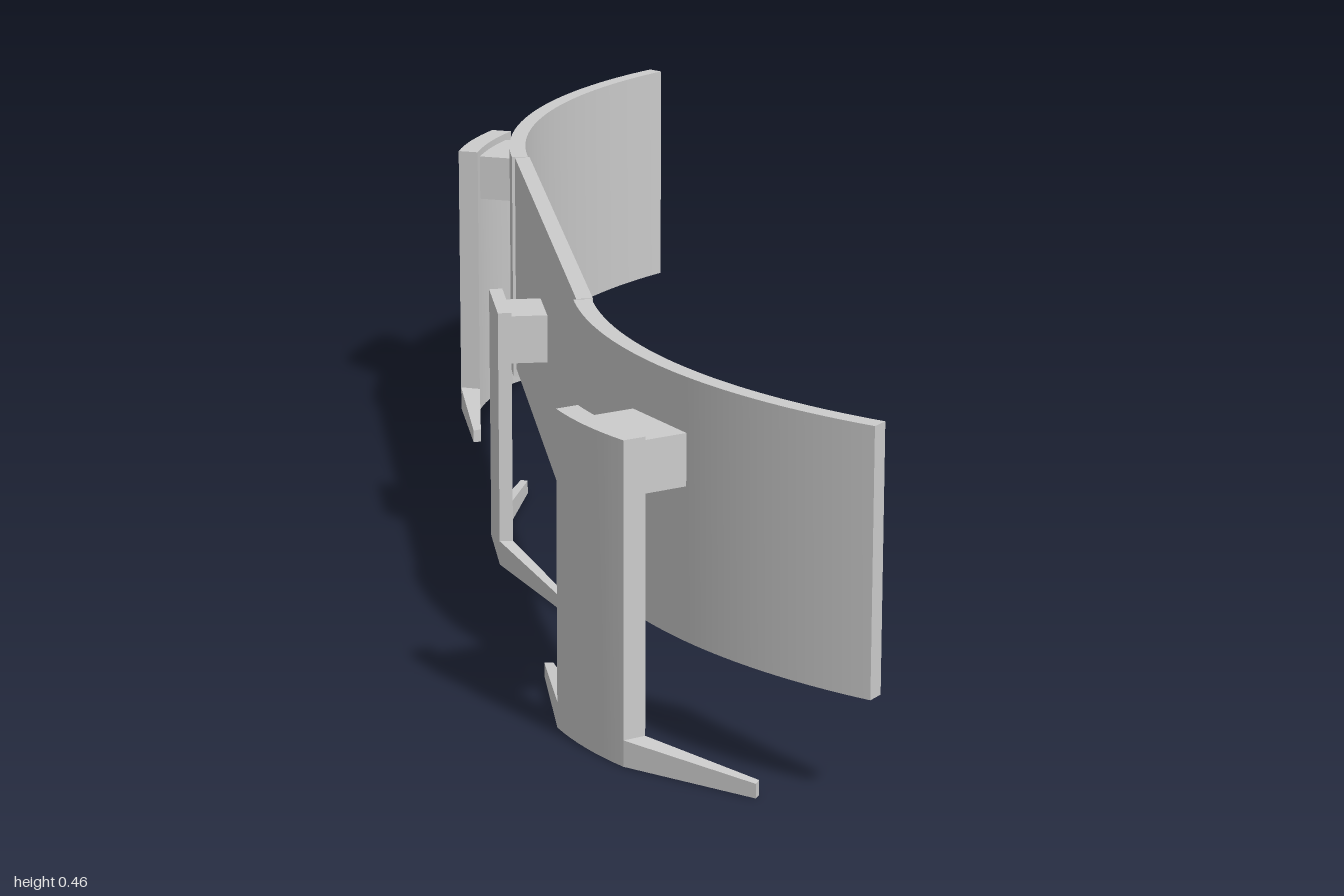
import * as THREE from 'three';
import { toCreasedNormals } from 'three/addons/utils/BufferGeometryUtils.js';

const material = new THREE.MeshStandardMaterial({ color: 0xcccccc });

// Vertical prism over a plan outline of [x, z] points; heightAt may slope its top.
function prism(name, outline, y0, y1, heightAt) {
  const shape = new THREE.Shape(outline.map(([x, z]) => new THREE.Vector2(x, z)));
  const geo = new THREE.ExtrudeGeometry(shape, { depth: y1 - y0, bevelEnabled: false });
  geo.rotateX(Math.PI / 2).translate(0, y1, 0);
  if (heightAt) {
    const p = geo.attributes.position;
    for (let i = 0; i < p.count; i++) {
      if (p.getY(i) > (y0 + y1) / 2) p.setY(i, heightAt(p.getZ(i)));
    }
    geo.computeVertexNormals();
  }
  const mesh = new THREE.Mesh(toCreasedNormals(geo, 0.4), material);
  mesh.name = name;
  return mesh;
}

// Curved side screen bending forward (+x) away from the joint; side is +1 or -1 in z.
function sideScreen(side) {
  const R = 0.785, thick = 0.023, sweep = 0.862, n = 40;
  const outer = [], inner = [];
  for (let i = 0; i <= n; i++) {
    const t = (sweep * i) / n;
    const point = (r) => [-0.108 + R - r * Math.cos(t), side * (0.405 + r * Math.sin(t))];
    outer.push(point(R));
    inner.unshift(point(R - thick));
  }
  return prism(side > 0 ? 'leftScreen' : 'rightScreen', [...outer, ...inner], 0.13, 0.455);
}

// Stand in local axes: +x points at the screen, z runs along its width.
function stand(name, { half, thick, bulge, height, tipX, tipZ, blockHalf, blockEnd }) {
  const group = new THREE.Group();
  group.name = name;

  // gently bowed upright plate
  const back = [], front = [];
  for (let i = 0; i <= 8; i++) {
    const s = (i / 8) * 2 - 1;
    const x = -bulge * (1 - s * s);
    back.push([x, s * half]);
    front.unshift([x + thick, s * half]);
  }
  group.add(prism('upright', [...back, ...front], 0, height));

  // mounting block between upright and screen
  const block = new THREE.Mesh(new THREE.BoxGeometry(blockEnd, 0.065, blockHalf * 2), material);
  block.name = 'mountBlock';
  block.position.set(blockEnd / 2 + 0.002, height - 0.0425, 0);
  group.add(block);

  // two tapering feet
  for (const s of [1, -1]) {
    const outline = [[0, s * half], [tipX, s * tipZ], [tipX + 0.009, s * (tipZ - 0.007)], [thick, s * half]];
    const slope = (z) => 0.033 - 0.015 * (Math.abs(z) - half) / (tipZ - half);
    group.add(prism('foot', outline, 0, 0.033, slope));
  }
  return group;
}

export function createModel() {
  const model = new THREE.Group();
  model.name = 'tripleScreen';

  // flat centre screen
  const centre = new THREE.Mesh(new THREE.BoxGeometry(0.021, 0.312, 0.804), material);
  centre.name = 'centreScreen';
  centre.position.set(-0.0935, 0.299, 0);
  model.add(centre);

  const centreStand = stand('centreStand', {
    half: 0.065, thick: 0.018, bulge: 0, height: 0.35,
    tipX: 0.06, tipZ: 0.26, blockHalf: 0.045, blockEnd: 0.07,
  });
  centreStand.position.x = -0.172;
  model.add(centreStand);

  // curved side screens with their angled stands
  for (const side of [1, -1]) {
    model.add(sideScreen(side));
    const s = stand(side > 0 ? 'leftStand' : 'rightStand', {
      half: 0.077, thick: 0.03, bulge: 0.006, height: 0.4,
      tipX: 0.078, tipZ: 0.243, blockHalf: 0.06, blockEnd: 0.094,
    });
    s.position.set(-0.129, 0, side * 0.769);
    s.rotation.y = side * 0.423;
    model.add(s);
  }
  return model;
}
